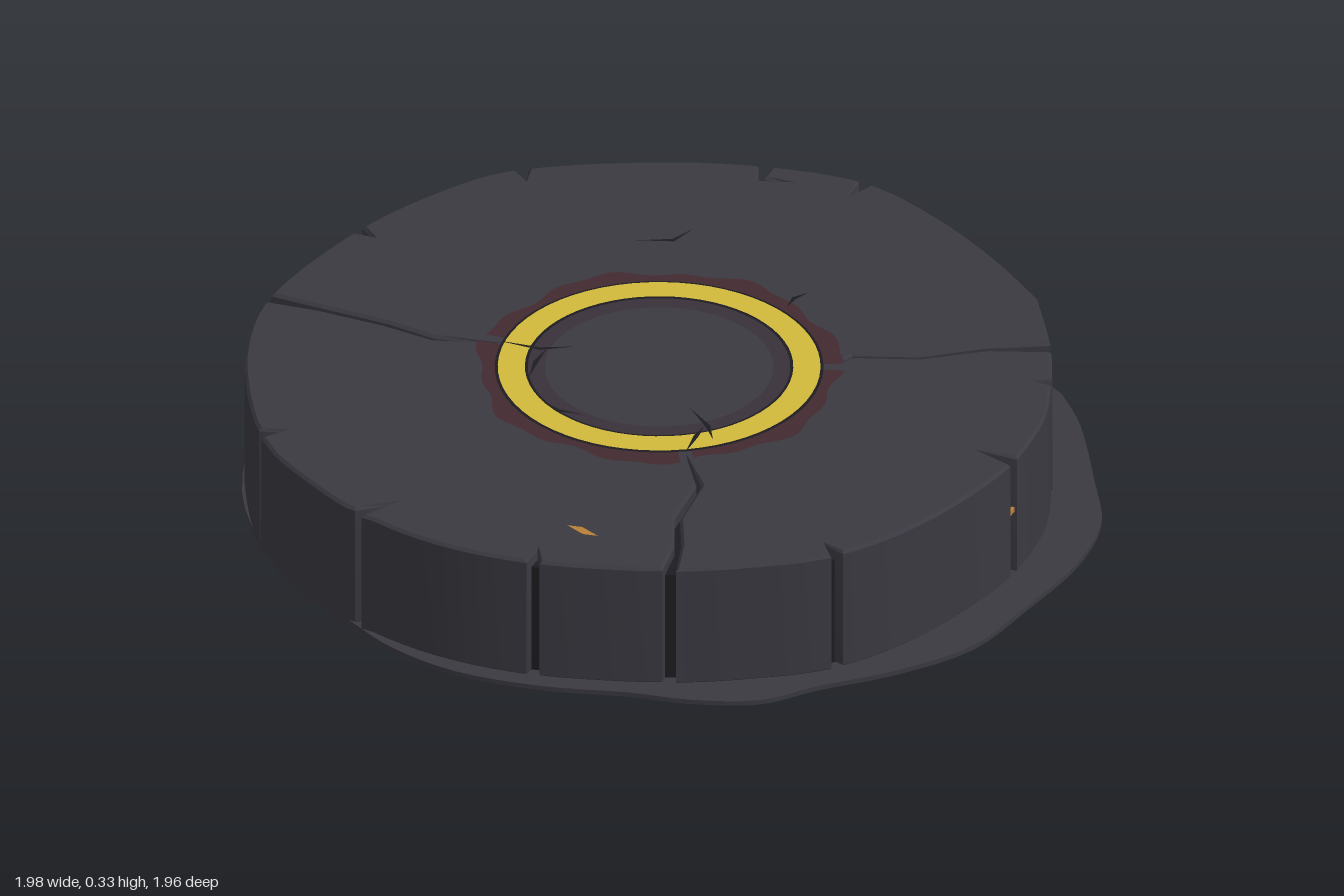
import * as THREE from 'three';
import { toCreasedNormals } from 'three/addons/utils/BufferGeometryUtils.js';

const TOP = 0.322;
const RING = [-0.02, -0.02];
const colour = (name, color) => Object.assign(new THREE.MeshStandardMaterial({ color }), { name });
const V = ([x, z]) => new THREE.Vector2(x, z);

// plan outlines, as x and z pairs
const DISC = [[0.91, 0], [0.86, 0.22], [0.79, 0.4], [0.71, 0.54], [0.55, 0.7], [0.3, 0.84], [0.07, 0.9], [-0.12, 0.88],
  [-0.33, 0.82], [-0.6, 0.68], [-0.78, 0.52], [-0.9, 0.33], [-0.96, 0.15], [-0.99, -0.02], [-0.96, -0.22], [-0.88, -0.45],
  [-0.74, -0.65], [-0.46, -0.84], [-0.2, -0.94], [0, -0.96], [0.3, -0.88], [0.53, -0.77], [0.72, -0.62], [0.82, -0.42], [0.88, -0.2]];
const BASE = [[0.99, -0.05], [0.98, 0.1], [0.92, 0.35], [0.87, 0.52], [0.75, 0.67], [0.58, 0.8], [0.4, 0.92], [0.2, 0.96],
  [0, 0.96], [-0.15, 0.97], [-0.3, 0.91], [-0.42, 0.83], [-0.6, 0.73], [-0.76, 0.6], [-0.86, 0.45], [-0.91, 0.3], [-0.96, 0.13],
  [-0.98, -0.05], [-0.94, -0.32], [-0.78, -0.63], [-0.65, -0.75], [-0.4, -0.9], [-0.1, -0.98], [0.1, -0.97], [0.35, -0.91],
  [0.6, -0.77], [0.72, -0.68], [0.77, -0.58], [0.86, -0.5], [0.93, -0.3]];

// cracks from the rim inward: long ones reach the ring, short ones notch the side
const CRACKS = [
  [[-0.76, -0.64], [-0.66, -0.55], [-0.54, -0.43], [-0.46, -0.33], [-0.32, -0.25]],
  [[0.86, 0.22], [0.72, 0.17], [0.56, 0.15], [0.42, 0.09], [0.35, 0.12]],
  [[-0.32, 0.83], [-0.26, 0.73], [-0.22, 0.62], [-0.12, 0.5], [-0.1, 0.37]],
  [[0.53, -0.77], [0.5, -0.72], [0.56, -0.68]],
  [[0.72, -0.62], [0.66, -0.57]], [[0.07, 0.9], [0.06, 0.85]], [[0.6, 0.66], [0.54, 0.59]],
  [[0, -0.96], [-0.01, -0.91]], [[-0.98, -0.08], [-0.93, -0.07]], [[-0.9, 0.33], [-0.8, 0.32]],
  [[-0.6, 0.68], [-0.57, 0.63]], [[0.81, 0.36], [0.77, 0.34]], [[-0.45, -0.84], [-0.43, -0.8]],
];

const smooth = (pts, n) => new THREE.SplineCurve([...pts, pts[0]].map(V)).getPoints(n).slice(0, -1);

// cut a tapering notch into an outline for every crack
function notched(outline, cracks) {
  const angle = (p) => Math.atan2(p.y, p.x);
  let items = outline.map((p) => ({ a: angle(p), pts: [p] }));
  for (const crack of cracks) {
    const path = crack.map(V);
    const a = angle(path[0]);
    path[0].setLength(outline.reduce((b, p) => (p.distanceTo(path[0]) < b.distanceTo(path[0]) ? p : b)).length());
    const going = [], back = [];
    for (let i = 0; i < path.length - 1; i++) {
      const d = path[i + 1].clone().sub(path[Math.max(i - 1, 0)]).normalize();
      const w = i === 0 ? 0.016 : 0.009 * (1 - 0.6 * i / path.length);
      const n = new THREE.Vector2(d.y, -d.x).multiplyScalar(w);
      going.push(path[i].clone().sub(n));
      back.unshift(path[i].clone().add(n));
    }
    items = items.filter((it) => it.pts.length > 1 || Math.abs(it.a - a) > 0.028);
    items.push({ a, pts: [...going, path[path.length - 1], ...back] });
  }
  return items.sort((p, q) => p.a - q.a).flatMap((it) => it.pts);
}

// upright slab from a plan outline
function slab(points, y0, y1, bevel = 0) {
  const shape = new THREE.Shape(points.map((p) => new THREE.Vector2(p.x, -p.y)));
  const geo = new THREE.ExtrudeGeometry(shape, {
    depth: y1 - y0 - 2 * bevel, bevelEnabled: bevel > 0, bevelSize: bevel, bevelThickness: bevel,
    bevelOffset: -bevel, bevelSegments: 1,
  });
  geo.rotateX(-Math.PI / 2).translate(0, y0 + bevel, 0);
  return toCreasedNormals(geo, 0.5);
}

// flat painted patch on the top face
function patch(points, y) {
  const shape = new THREE.Shape(points.map((p) => new THREE.Vector2(p.x, -p.y)));
  return new THREE.ShapeGeometry(shape).rotateX(-Math.PI / 2).translate(0, y, 0);
}

// painted band around the ring centre, with an optional uneven outer edge
function band(r0, r1, y, a0 = 0, a1 = Math.PI * 2, wobble = 0) {
  const n = 64, inner = [], outer = [];
  for (let i = 0; i <= n; i++) {
    const a = a0 + (a1 - a0) * i / n;
    const r = r1 + wobble * (Math.sin(a * 7) + 0.6 * Math.sin(a * 17 + 1));
    outer.push(new THREE.Vector2(RING[0] + r * Math.cos(a), RING[1] + r * Math.sin(a)));
    inner.unshift(new THREE.Vector2(RING[0] + r0 * Math.cos(a), RING[1] + r0 * Math.sin(a)));
  }
  return patch([...outer, ...inner], y);
}

export function createModel() {
  const stone = colour('dark stone', 0x3a3941);
  const crackDark = colour('crack shadow', 0x1d1d21);
  const gold = colour('yellow inlay', 0xd2b93a);
  const glow = colour('dull red scorch', 0x422a30);
  const faintGlow = colour('faint scorch', 0x39313a);
  const ember = colour('orange ember', 0xb97f35);

  const model = new THREE.Group();
  const add = (name, geo, mat) => {
    const mesh = new THREE.Mesh(geo, mat);
    mesh.name = name;
    model.add(mesh);
    return mesh;
  };

  // ground skirt, cracked slab and the dark core seen inside its cracks
  add('baseSkirt', slab(smooth(BASE, 120), 0, 0.012), stone);
  const outline = smooth(DISC, 125);
  add('stoneDisc', slab(notched(outline, CRACKS), 0.008, TOP, 0.007), stone);
  add('crackCore', slab(outline.map((p) => p.clone().multiplyScalar(0.972)), 0.01, 0.29), crackDark);

  // scorch marks, interrupted where the long cracks meet the ring
  for (const [a0, a1] of [[-2.43, 0.33], [0.4, 1.74], [1.82, 3.78]]) {
    add('outerScorch', band(0.375, 0.42, TOP + 0.001, a0, a1, 0.011), glow);
  }
  add('innerScorch', band(0.265, 0.31, TOP + 0.001), faintGlow);

  // inlaid ring with dark seams on both edges
  add('ringSeam', band(0.304, 0.381, TOP + 0.0018), crackDark);
  add('inlayRing', band(0.311, 0.374, TOP + 0.003), gold);

  // thin cracks running over the ring
  const hairlines = [
    [[-0.33, -0.26], [-0.25, -0.19], [-0.17, -0.17]],
    [[-0.32, -0.08], [-0.28, -0.14], [-0.23, -0.19]],
    [[-0.02, 0.33], [-0.01, 0.27], [-0.02, 0.18]],
    [[-0.1, 0.36], [-0.05, 0.3], [-0.02, 0.27]],
    [[0.35, -0.16], [0.38, -0.19], [0.42, -0.2]],
    [[-0.33, 0.02], [-0.31, 0.08], [-0.26, 0.12]],
    [[0.13, -0.56], [0.21, -0.53], [0.27, -0.56]],
  ];
  for (const [a, b, c] of hairlines) {
    const [p, q, r] = [a, b, c].map(V);
    const d = r.clone().sub(p).normalize();
    const n = new THREE.Vector2(d.y, -d.x).multiplyScalar(0.006);
    add('hairlineCrack', patch([p, q.clone().add(n), r, q.clone().sub(n)], TOP + 0.004), crackDark);
  }

  // glowing chips on the top and front
  add('topEmber', patch([[-0.47, 0.56], [-0.44, 0.58], [-0.42, 0.63], [-0.45, 0.61]].map(V), TOP + 0.001), ember);
  const chip = add('sideEmber', new THREE.BoxGeometry(0.025, 0.012, 0.008), ember);
  chip.position.set(0.592, 0.185, 0.66);
  chip.rotation.y = 0.75;

  return model;
}
